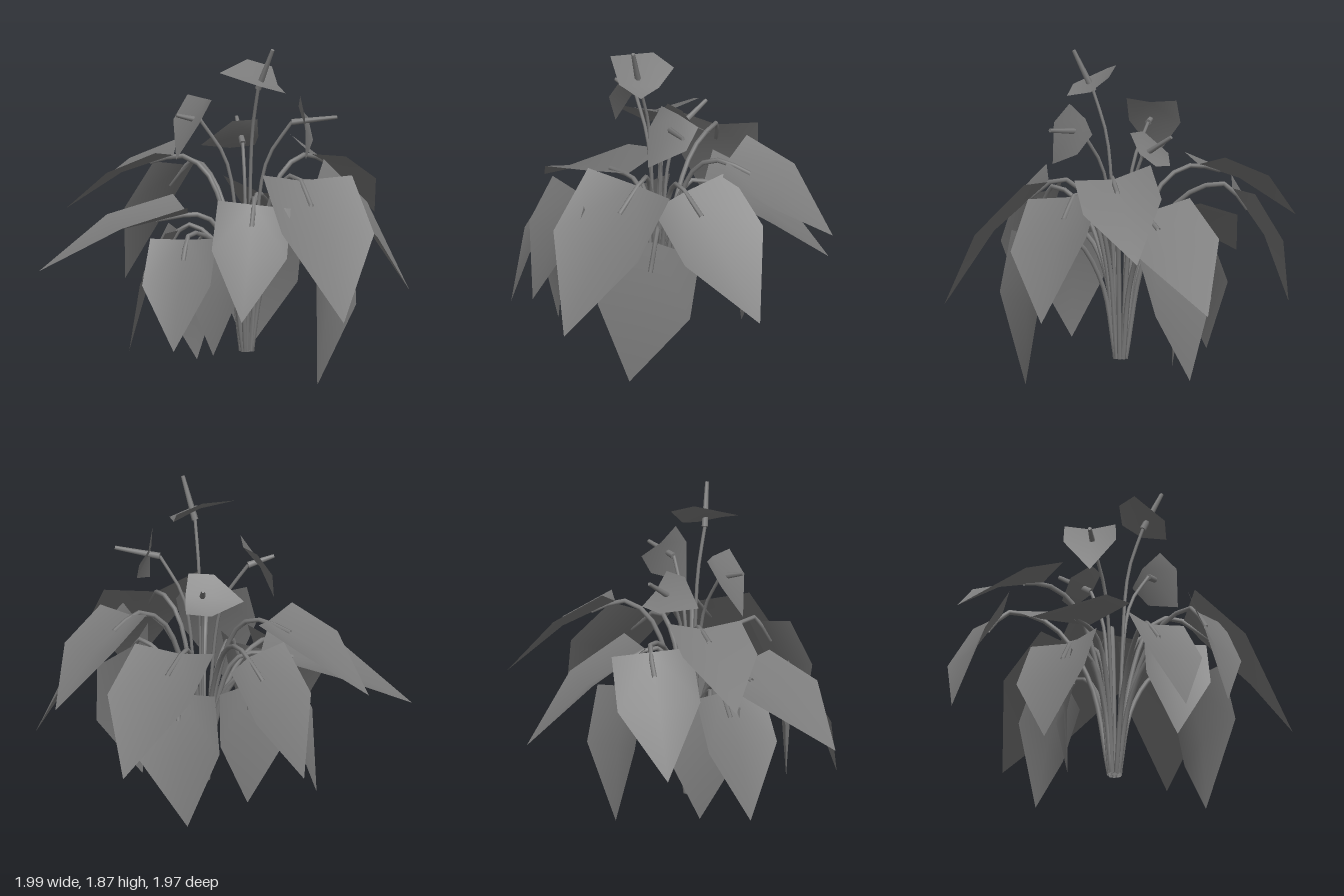
import * as THREE from 'three';

const material = new THREE.MeshStandardMaterial({ color: 0x7c7c7c, side: THREE.DoubleSide });
const vec = (a) => new THREE.Vector3(...a);
const ROOT = new THREE.Vector3(-0.04, 0.15, 0);

// Each blade: middle of the back edge, tip, direction across the blade
const leaves = [
  [[0.00, 1.15, 0.40], [-0.20, 0.43, 0.98], [0.53, 0, 0.10]],
  [[0.40, 1.22, 0.05], [0.99, 0.82, -0.07], [-0.02, 0.08, -0.48]],
  [[0.24, 1.10, 0.27], [0.77, 0.46, 0.46], [0.25, 0.18, -0.43]],
  [[0.19, 1.00, -0.13], [0.80, 0.50, -0.47], [-0.27, 0.10, -0.39]],
  [[0.06, 1.12, -0.62], [-0.10, 0.46, -0.94], [-0.45, 0, 0.10]],
  [[-0.19, 1.22, -0.44], [-0.50, 0.89, -0.99], [-0.43, -0.03, 0.24]],
  [[-0.30, 0.93, -0.20], [-1.00, 0.62, -0.67], [-0.24, 0.02, 0.45]],
  [[-0.57, 0.84, 0.09], [-0.82, 0.25, 0.25], [0.16, -0.03, 0.38]],
  [[-0.35, 1.05, 0.40], [-0.57, 0.42, 0.54], [0.30, -0.06, 0.27]],
  [[0.13, 0.84, 0.44], [0.01, 0.01, 0.53], [0.48, 0, -0.20]],
  [[-0.42, 0.80, 0.25], [-0.53, 0.20, 0.26], [0.05, 0, 0.40]],
  [[-0.19, 0.76, -0.23], [-0.15, 0.08, -0.29], [-0.45, 0, -0.05]],
  [[0.26, 0.80, -0.20], [0.31, 0.07, -0.38], [-0.30, 0, -0.30]],
  [[-0.28, 0.82, -0.30], [-0.48, 0.14, -0.49], [-0.30, 0, 0.30]],
];

// Flowers: the same three, then the foot and the end of the spadix
const flowers = [
  [[0.04, 1.66, 0.17], [-0.30, 1.75, 0.06], [-0.10, -0.10, 0.20], [-0.09, 1.65, 0.15], [-0.08, 1.88, 0.26]],
  [[0.17, 1.53, 0.20], [0.06, 1.26, 0.38], [0.17, -0.16, -0.12], [0.10, 1.45, 0.22], [0.28, 1.48, 0.40]],
  [[-0.20, 1.57, -0.17], [-0.38, 1.24, -0.21], [-0.04, 0.06, 0.28], [-0.24, 1.45, -0.16], [-0.38, 1.49, -0.21]],
  [[0.14, 1.33, -0.10], [-0.14, 1.29, -0.27], [-0.12, 0.23, 0.20], [0.04, 1.30, -0.12], [0.14, 1.42, -0.28]],
];

function addMesh(parent, geometry, name) {
  const mesh = new THREE.Mesh(geometry, material);
  mesh.name = name;
  parent.add(mesh);
  return mesh;
}

// Blade coordinates: sideways, along the midrib and off the surface, in blade lengths
function bladeFrame(back, tip, across) {
  const B = vec(back);
  const d = vec(tip).sub(B);
  const length = d.length();
  d.normalize();
  const w = vec(across).addScaledVector(d, -vec(across).dot(d)).normalize();
  const n = d.clone().cross(w);
  return (side, along, raise) => B.clone()
    .addScaledVector(w, side * length)
    .addScaledVector(d, along * length)
    .addScaledVector(n, raise * length);
}

// Shield-shaped blade, creased along its midrib and arched towards the tip
function bladeGeometry(at, halfWidth) {
  const backWidth = halfWidth * 0.97;
  const points = [
    at(0, 0, 0), at(0, 0.45, 0.06), at(0, 1, 0),
    at(backWidth, 0.02, 0.09), at(halfWidth, 0.45, 0.12),
    at(-backWidth, 0.02, 0.09), at(-halfWidth, 0.45, 0.12),
  ];
  const geometry = new THREE.BufferGeometry().setFromPoints(points);
  geometry.setIndex([0, 1, 4, 0, 4, 3, 1, 2, 4, 0, 6, 1, 0, 5, 6, 1, 6, 2]);
  geometry.computeVertexNormals();
  return geometry;
}

// Thin stalk through a few points
function stalkGeometry(points, radius) {
  return new THREE.TubeGeometry(new THREE.CatmullRomCurve3(points), 14, radius, 6, false);
}

// Foot of a stalk, set a little off the root towards its blade
function stalkFoot(end) {
  const out = end.clone().sub(ROOT).setY(0).normalize();
  return ROOT.clone().addScaledVector(out, 0.03);
}

// Point on the way from foot to end, with its own share of the height
function between(foot, end, out, up) {
  return foot.clone().lerp(end, out).setY(foot.y + (end.y - foot.y) * up);
}

function addLeaf(group, [back, tip, across]) {
  const leaf = new THREE.Group();
  leaf.name = 'leaf';
  const at = bladeFrame(back, tip, across);
  addMesh(leaf, bladeGeometry(at, 0.31), 'leafBlade');

  // Stalk rises steeply, arches under the back edge and just pierces the blade
  const bend = at(0, -0.06, -0.035);
  const end = at(0, 0.2, 0.035);
  const foot = stalkFoot(bend);
  const path = [foot, between(foot, bend, 0.2, 0.58), between(foot, bend, 0.58, 0.92), bend, end];
  addMesh(leaf, stalkGeometry(path, 0.014), 'leafStalk');
  group.add(leaf);
}

function addFlower(group, [back, tip, across, spadixFoot, spadixEnd]) {
  const flower = new THREE.Group();
  flower.name = 'flower';
  addMesh(flower, bladeGeometry(bladeFrame(back, tip, across), 0.39), 'flowerBract');

  // Tapered spadix
  const a = vec(spadixFoot);
  const axis = vec(spadixEnd).sub(a);
  const spadix = addMesh(flower, new THREE.CylinderGeometry(0.011, 0.019, axis.length(), 6), 'spadix');
  spadix.position.copy(a).addScaledVector(axis, 0.5);
  spadix.quaternion.setFromUnitVectors(new THREE.Vector3(0, 1, 0), axis.clone().normalize());

  // Slender stalk, nearly straight until it bends into the spadix
  const foot = stalkFoot(a);
  const path = [foot, between(foot, a, 0.1, 0.5), between(foot, a, 0.38, 0.83), a];
  addMesh(flower, stalkGeometry(path, 0.01), 'flowerStalk');
  group.add(flower);
}

export function createModel() {
  const plant = new THREE.Group();
  plant.name = 'floweringPlant';
  leaves.forEach((leaf) => addLeaf(plant, leaf));
  flowers.forEach((flower) => addFlower(plant, flower));
  return plant;
}
